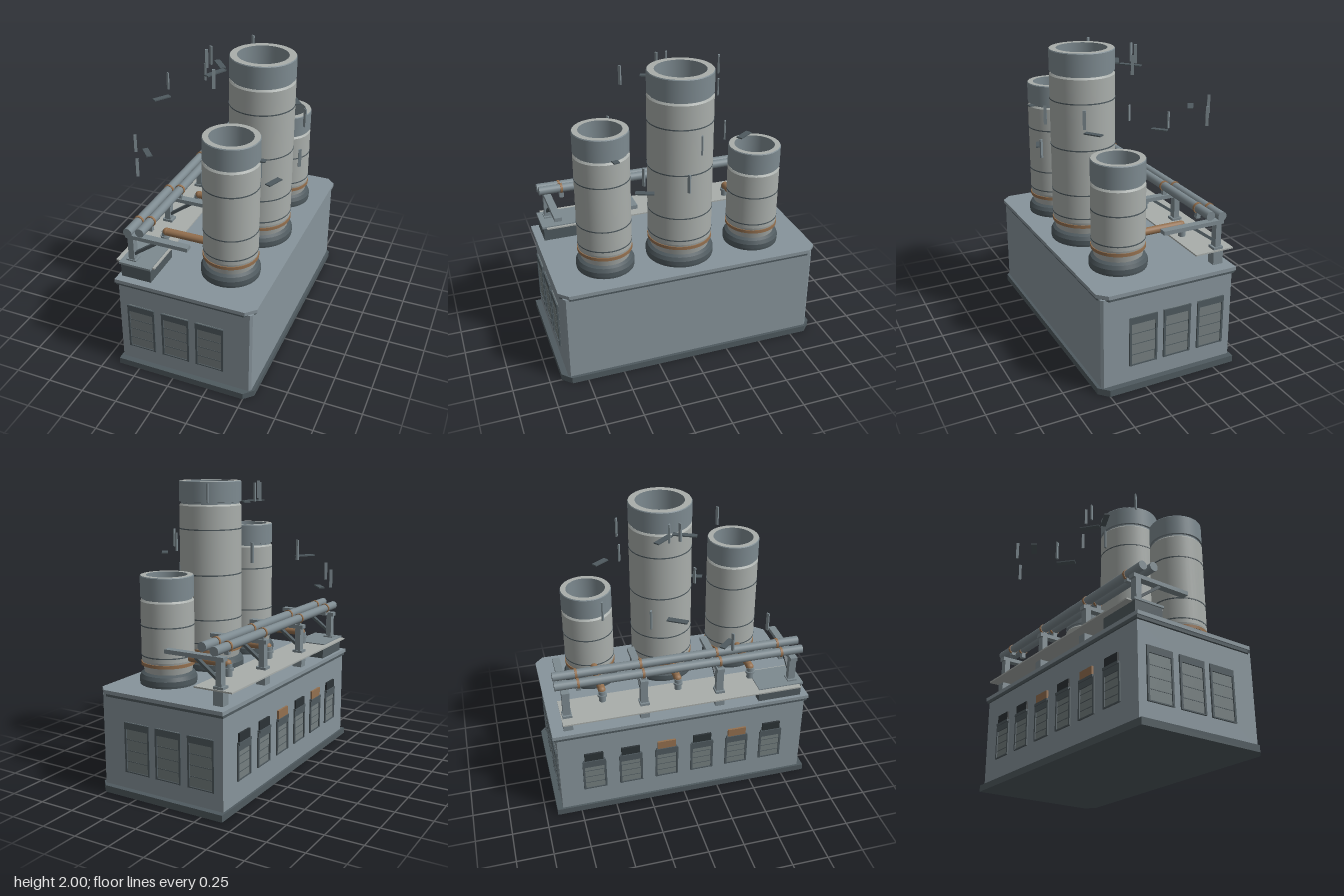
import * as THREE from 'three';

const mat = (color, side = THREE.FrontSide) => new THREE.MeshStandardMaterial({ color, side });
const WALL = mat(0x87949b), DARK = mat(0x4f5a5f), PALE = mat(0xa9aeab, THREE.DoubleSide);
const COPPER = mat(0x94704f), PANEL = mat(0x757f80), STEEL = mat(0x7d8a90), BLACK = mat(0x2c3336);

function add(parent, name, geometry, material, x = 0, y = 0, z = 0) {
  const mesh = new THREE.Mesh(geometry, material);
  mesh.name = name;
  mesh.position.set(x, y, z);
  parent.add(mesh);
  return mesh;
}

// Box given by its minimum and maximum corners
function box(parent, name, material, x0, x1, y0, y1, z0, z1) {
  return add(parent, name, new THREE.BoxGeometry(x1 - x0, y1 - y0, z1 - z0), material,
    (x0 + x1) / 2, (y0 + y1) / 2, (z0 + z1) / 2);
}

// Horizontal slab with its two +x corners cut off
function slab(parent, name, material, x0, x1, y0, y1, halfZ, cut) {
  const s = new THREE.Shape();
  s.moveTo(x0, -halfZ);
  s.lineTo(x1 - cut, -halfZ);
  s.lineTo(x1, -halfZ + cut);
  s.lineTo(x1, halfZ - cut);
  s.lineTo(x1 - cut, halfZ);
  s.lineTo(x0, halfZ);
  s.closePath();
  const g = new THREE.ExtrudeGeometry(s, { depth: y1 - y0, bevelEnabled: false });
  g.rotateX(-Math.PI / 2);
  return add(parent, name, g, material, 0, y0, 0);
}

// Lathe with hard edges: every profile segment gets its own normals
function lathe(parent, name, material, points) {
  const group = new THREE.Group();
  group.name = name;
  for (let i = 0; i + 1 < points.length; i++) {
    const pair = [points[i], points[i + 1]].map(([r, y]) => new THREE.Vector2(r, y));
    add(group, name + 'Ring', new THREE.LatheGeometry(pair, 40), material);
  }
  parent.add(group);
  return group;
}

function stack(name, z, r, top) {
  const g = new THREE.Group();
  g.name = name;
  g.position.set(0.255, 0, z);
  const neck = top - 0.155, inner = r * 0.77, b = r + 0.013;
  // Flared foot
  lathe(g, 'stackFoot', DARK, [[b, 0.69], [b + 0.003, 0.71], [b + 0.003, 0.74], [b - 0.01, 0.765], [r - 0.02, 0.78]]);
  // Pale barrel with bevelled ends
  lathe(g, 'stackBarrel', PALE, [[r - 0.018, 0.77], [r, 0.86], [r, neck - 0.012], [r - 0.01, neck], [inner, neck]]);
  // Open collar and the flue inside it
  const steel = STEEL.clone();
  steel.side = THREE.DoubleSide;
  lathe(g, 'stackCollar', steel, [[r - 0.012, neck], [r - 0.012, neck + 0.012], [r, neck + 0.014], [r, top - 0.006], [r - 0.004, top]]);
  lathe(g, 'stackRim', PALE, [[r - 0.004, top], [inner, top]]);
  lathe(g, 'flueLining', steel, [[inner, top], [inner, top - 0.4]]);
  add(g, 'flueFloor', new THREE.CylinderGeometry(inner, inner, 0.01, 40), DARK, 0, top - 0.4, 0);
  add(g, 'flueHub', new THREE.CylinderGeometry(0.022, 0.022, 0.02, 20), PALE, 0, top - 0.395, 0);
  // Copper belt and thin seams
  add(g, 'copperBelt', new THREE.CylinderGeometry(r + 0.003, r + 0.003, 0.022, 40, 1), COPPER, 0, 0.835, 0);
  const seams = [0.89];
  for (let y = neck - 0.17; y > 0.95; y -= 0.31) seams.push(y);
  for (const y of seams)
    add(g, 'seam', new THREE.CylinderGeometry(r + 0.002, r + 0.002, 0.008, 40, 1), DARK, 0, y, 0);
  return g;
}

// Slatted shutter standing on a wall, facing +z
function shutter(w, h) {
  const g = new THREE.Group();
  g.name = 'shutter';
  const d = 0.006;
  box(g, 'shutterBack', PANEL, -w / 2, w / 2, 0, h, -d, d / 2);
  box(g, 'shutterHead', DARK, -w / 2, w / 2, h - 0.045, h, 0, 0.011);
  for (const s of [-1, 1]) box(g, 'shutterJamb', DARK, s * w / 2 - 0.007, s * w / 2 + 0.007, 0, h, 0, 0.011);
  box(g, 'shutterSill', DARK, -w / 2, w / 2, 0, 0.008, 0, 0.009);
  for (let i = 1; i < 4; i++)
    box(g, 'shutterLine', DARK, -w / 2, w / 2, i * h / 4.6, i * h / 4.6 + 0.004, 0, 0.005);
  return g;
}

export function createModel() {
  const model = new THREE.Group();
  model.name = 'powerStation';

  // Building
  const hall = new THREE.Group();
  hall.name = 'hall';
  model.add(hall);
  slab(hall, 'plinth', DARK, -0.4, 0.56, 0, 0.045, 0.92, 0.06);
  slab(hall, 'walls', WALL, -0.385, 0.54, 0.04, 0.66, 0.88, 0.015);
  slab(hall, 'eaves', DARK, -0.395, 0.55, 0.65, 0.67, 0.895, 0.06);
  slab(hall, 'roof', WALL, -0.4, 0.56, 0.67, 0.695, 0.905, 0.06);

  // Shutters on both end walls
  for (const x of [-0.23, 0.015, 0.255])
    for (const s of [-1, 1]) {
      const g = shutter(0.18, 0.34);
      g.position.set(x, 0.16, s * 0.882);
      if (s < 0) g.rotation.y = Math.PI;
      hall.add(g);
    }

  // Six hooded shutters along the pipe side
  for (let i = 0; i < 6; i++) {
    const g = shutter(0.15, 0.24);
    box(g, 'hood', i === 2 || i === 4 ? COPPER : BLACK, -0.065, 0.065, 0.25, 0.31, -0.005, 0.012);
    box(g, 'hoodLip', DARK, -0.075, 0.075, 0.235, 0.252, -0.005, 0.018);
    g.position.set(-0.387, 0.19, -0.64 + i * 0.256);
    g.rotation.y = -Math.PI / 2;
    hall.add(g);
  }

  // Chimney stacks
  model.add(stack('smallStack', -0.53, 0.175, 1.415));
  model.add(stack('tallStack', 0, 0.215, 2));
  model.add(stack('mediumStack', 0.525, 0.18, 1.67));

  // Service deck and tank box
  box(model, 'serviceDeck', PALE, -0.42, -0.145, 0.788, 0.798, -0.83, 0.83);
  box(model, 'tankBox', DARK, -0.375, -0.165, 0.69, 0.795, 0.54, 0.85);
  box(model, 'tankLid', STEEL, -0.385, -0.16, 0.79, 0.805, 0.535, 0.86);

  // Pipe brackets
  for (const z of [-0.79, -0.265, 0.265, 0.79]) {
    const g = new THREE.Group();
    g.name = 'pipeBracket';
    g.position.z = z;
    model.add(g);
    box(g, 'post', STEEL, -0.335, -0.295, 0.69, 0.975, -0.025, 0.025);
    box(g, 'postFoot', STEEL, -0.35, -0.28, 0.69, 0.815, -0.032, 0.032);
    box(g, 'arm', STEEL, -0.35, 0.08, 0.97, 0.997, -0.025, 0.025);
    const brace = add(g, 'brace', new THREE.BoxGeometry(0.2, 0.018, 0.03), DARK, -0.22, 0.91, 0);
    brace.rotation.z = Math.atan2(0.11, 0.15);
  }

  // Long pipes with copper clamps
  for (const [x, y] of [[-0.31, 1.04], [-0.225, 1.058]]) {
    const pipe = add(model, 'mainPipe', new THREE.CylinderGeometry(0.03, 0.03, 1.71, 20), STEEL, x, y, 0);
    pipe.rotation.x = Math.PI / 2;
    for (const z of [-0.7, -0.265, 0.265, 0.7]) {
      const clamp = add(model, 'clamp', new THREE.CylinderGeometry(0.035, 0.035, 0.016, 20), COPPER, x, y, z);
      clamp.rotation.x = Math.PI / 2;
      box(model, 'saddle', STEEL, x - 0.015, x + 0.015, 0.99, y - 0.02, z - 0.015, z + 0.015);
    }
  }

  // Copper feed pipes with riser fittings
  for (const z of [-0.53, 0, 0.525]) {
    const feed = add(model, 'feedPipe', new THREE.CylinderGeometry(0.026, 0.026, 0.29, 20), COPPER, -0.055, 0.88, z);
    feed.rotation.z = Math.PI / 2;
    add(model, 'riser', new THREE.CylinderGeometry(0.024, 0.024, 0.09, 20), STEEL, -0.215, 0.835, z);
    add(model, 'riserCollar', new THREE.CylinderGeometry(0.032, 0.032, 0.015, 20), STEEL, -0.215, 0.845, z);
    add(model, 'elbow', new THREE.SphereGeometry(0.027, 20, 12), COPPER, -0.205, 0.88, z);
  }

  // Loose upright slats around the stacks: height, then x, z pairs
  const uprights = [
    [1.93, [[0.06, -0.335], [0.06, 0.335], [-0.118, -0.035], [-0.118, 0.035]]],
    [1.595, [[-0.555, -0.265], [-0.38, -0.525], [0.36, -0.265], [0.535, -0.042]]],
    [1.345, [[-0.55, 0.262], [-0.376, 0.56], [0.355, 0.28], [0.538, 0.04]]],
  ];
  for (const [y, spots] of uprights)
    for (const [x, z] of spots) {
      const slat = add(model, 'uprightSlat', new THREE.BoxGeometry(0.02, 0.125, 0.01), STEEL, x, y, z);
      slat.rotation.y = z < 0 ? -0.5 : 0.5;
    }

  // Loose flat slats: x, y, z, direction in x and z, length
  const flats = [
    [-0.52, 1.54, -0.09, 15, -24, 0.13], [0.36, 1.54, -0.4, 14, 20, 0.12],
    [-0.47, 1.285, 0.25, 17, 19, 0.12], [0.455, 1.285, 0.305, -9, 23, 0.12],
    [-0.065, 1.867, -0.06, 20, 25, 0.15], [-0.035, 1.867, 0.09, -14, 30, 0.16],
    [0.25, 1.265, -0.56, 24, -5, 0.125], [0.34, 1.85, -0.035, 35, -5, 0.16], [0.395, 1.52, 0.49, 26, -5, 0.13],
  ];
  for (const [x, y, z, dx, dz, length] of flats) {
    const slat = add(model, 'flatSlat', new THREE.BoxGeometry(length, 0.008, 0.04), DARK, x, y, z);
    slat.rotation.y = Math.atan2(-dz, dx);
  }

  return model;
}
